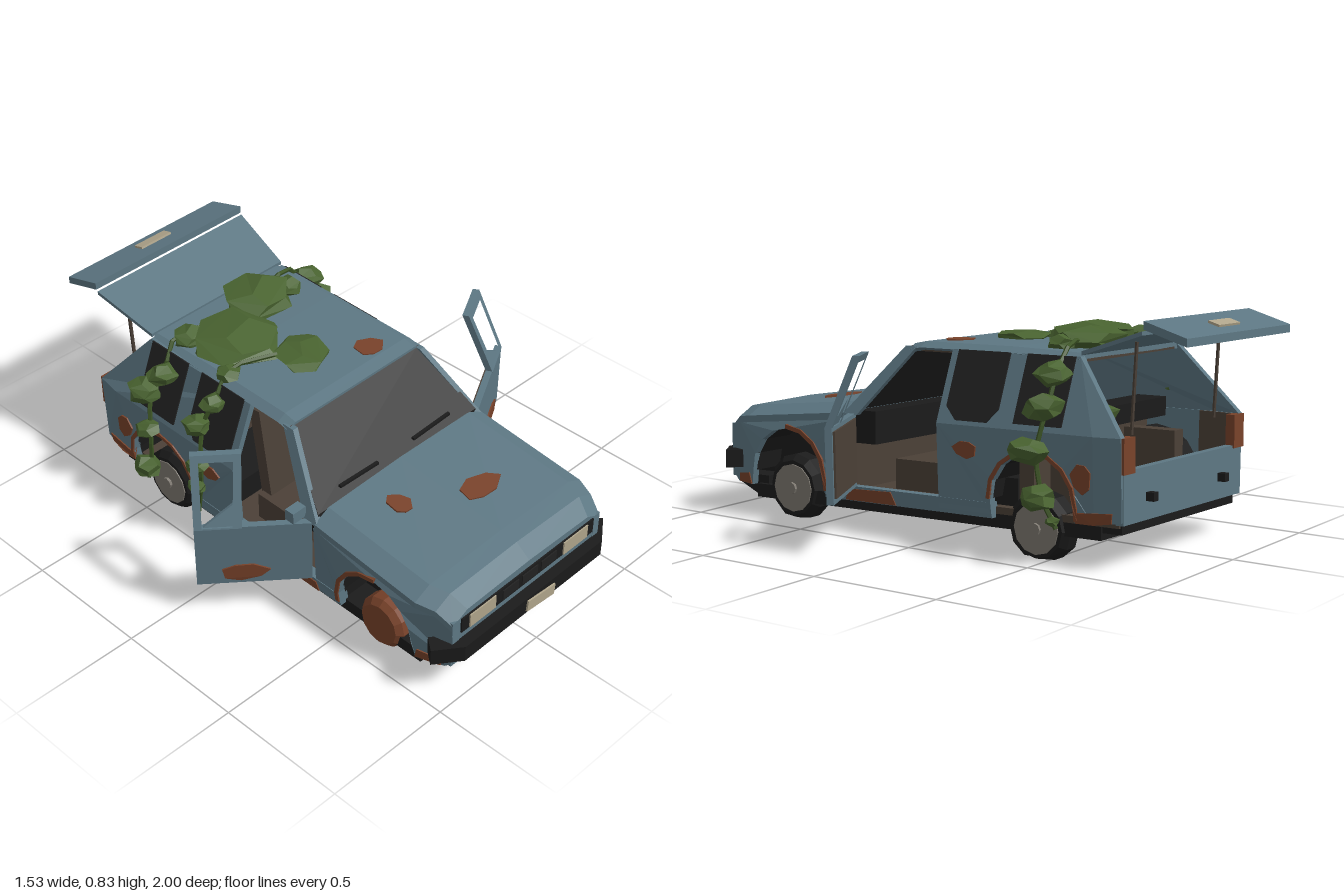
import * as THREE from 'three';

const mat = (name, color) => Object.assign(new THREE.MeshStandardMaterial({ color, flatShading: true }), { name });
const M = {
  paint: mat('faded blue paint', 0x5d7783), black: mat('black trim', 0x1b1b1b), glass: mat('dark glass', 0x222222),
  rust: mat('rust', 0x78422a), cream: mat('cream lamp', 0xb0a58b), hub: mat('wheel grey', 0x7d7870),
  cabin: mat('cabin brown', 0x4b4037), leaf: mat('leaf green', 0x496330), stem: mat('stem green', 0x3c5424),
};

function add(parent, name, geo, material, pos = [0, 0, 0]) {
  const m = new THREE.Mesh(geo, material);
  m.name = name;
  m.position.set(...pos);
  parent.add(m);
  return m;
}
const box = (p, name, material, size, pos) => add(p, name, new THREE.BoxGeometry(...size), material, pos);
const vecs = (pts) => pts.map(([a, b]) => new THREE.Vector2(a, b));

// half width of the body at a height and length: upright below the belt, leaning in above it
const halfWidth = (y, z) => 0.43 - Math.max(0, y - 0.42) * 0.4 - Math.max(0, z - 0.82) * 0.35
  - Math.max(0, -0.7 - z) * 0.15 - Math.max(0, 0.2 - y) * 0.15;

// plate following the body side; points are [z, y], s is +1 for left and -1 for right
function sidePlate(pts, s, offset, thick, holes = []) {
  const flip = (list) => vecs(list.map(([z, y]) => [-s * z, y]));
  const shape = new THREE.Shape(flip(pts));
  holes.forEach((h) => shape.holes.push(new THREE.Path(flip(h))));
  const g = new THREE.ExtrudeGeometry(shape, { depth: thick, bevelEnabled: false });
  const p = g.attributes.position;
  for (let i = 0; i < p.count; i++) {
    const y = p.getY(i), z = -s * p.getX(i);
    p.setXYZ(i, s * (halfWidth(y, z) + offset + p.getZ(i)), y, z);
  }
  g.computeVertexNormals();
  return g;
}

// flat plate cut in plan; points are [x, z], top face at y = 0
function planPlate(pts, thick) {
  return new THREE.ExtrudeGeometry(new THREE.Shape(vecs(pts)), { depth: thick, bevelEnabled: false }).rotateX(Math.PI / 2);
}

// solid through rings of [x, y, z], each counter-clockwise seen from +z, ordered by rising z
function loft(rings) {
  const v = [], n = rings[0].length, tri = (...t) => t.forEach((q) => v.push(...q));
  for (let i = 0; i + 1 < rings.length; i++) for (let j = 0; j < n; j++) {
    const k = (j + 1) % n, a = rings[i], b = rings[i + 1];
    tri(a[j], a[k], b[k]);
    tri(a[j], b[k], b[j]);
  }
  const first = rings[0], last = rings[rings.length - 1];
  for (let j = 1; j + 1 < n; j++) {
    tri(first[0], first[j + 1], first[j]);
    tri(last[0], last[j], last[j + 1]);
  }
  const g = new THREE.BufferGeometry();
  g.setAttribute('position', new THREE.Float32BufferAttribute(v, 3));
  g.computeVertexNormals();
  return g;
}
const slabRing = (h, y, z, t) => [[-h, y - t, z], [h, y - t, z], [h, y, z], [-h, y, z]];

// ragged outline for a rust patch
const patch = (a, b, ra, rb) => [[-1, 0.5], [-0.45, 0.95], [0.3, 1], [1, 0.3], [0.6, -0.5], [-0.25, -1], [-0.9, -0.6]]
  .map(([u, v]) => [a + u * ra, b + v * rb]);

// points of a wheel arch running from front to back, in eighths of the half circle
const arch = (z, r, from = 0) => Array.from({ length: 9 - from }, (_, i) => {
  const t = ((i + from) / 8) * Math.PI;
  return [z + r * Math.cos(t), 0.175 + r * Math.sin(t)];
});
const archBand = (z, r, w, from = 0) =>
  [...arch(z, r, from), [z - r, 0.13], [z - r - w, 0.13], ...arch(z, r + w, from).reverse()];

// faceted leaf mass
function clump(parent, name, pos, size, turn) {
  const g = new THREE.DodecahedronGeometry(1, 0);
  const p = g.attributes.position;
  for (let i = 0; i < p.count; i++) {
    const x = p.getX(i), y = p.getY(i), z = p.getZ(i);
    const k = 1.04 + 0.13 * Math.sin(7 * x + 5 * y + 9 * z + turn * 3);
    p.setXYZ(i, x * k, y * k, z * k);
  }
  g.computeVertexNormals();
  const m = add(parent, name, g, M.leaf, pos);
  m.scale.set(...size);
  m.rotation.y = turn;
}

function stem(parent, pts) {
  const curve = new THREE.CatmullRomCurve3(pts.map((q) => new THREE.Vector3(...q)));
  add(parent, 'vineStem', new THREE.TubeGeometry(curve, 12, 0.009, 5), M.stem);
}

function buildSide(car, s) {
  const plate = (name, material, pts, off, thick) => add(car, name, sidePlate(pts, s, off, thick), material);
  // fender, rear quarter and rocker
  plate('frontFender', M.paint, [[0.345, 0.12], [0.345, 0.405], [0.82, 0.36], [0.89, 0.35], [0.95, 0.305], [0.955, 0.15],
    [0.92, 0.12], [0.82, 0.12], ...arch(0.635, 0.172), [0.463, 0.12]], -0.03, 0.03);
  plate('rearQuarter', M.paint, [[-0.06, 0.12], [-0.285, 0.12], ...arch(-0.455, 0.17), [-0.625, 0.125], [-0.7, 0.125], [-0.8, 0.14],
    [-0.8, 0.42], [-0.7, 0.42], [-0.06, 0.42]], -0.03, 0.03);
  plate('rocker', M.paint, [[0.463, 0.105], [0.463, 0.16], [-0.285, 0.16], [-0.285, 0.105]], -0.04, 0.038);
  plate('trunkLining', M.cabin, [[-0.64, 0.14], [-0.64, 0.42], [-0.785, 0.42], [-0.785, 0.14]], -0.04, 0.009);
  [[0.635, 0.172], [-0.455, 0.17]].forEach(([z, r]) => plate('archLiner', M.black, archBand(z, r, 0.012), -0.16, 0.14));
  // upper pillars
  plate('frontPillar', M.paint, [[0.365, 0.42], [0.3, 0.42], [0.1, 0.67], [0.15, 0.67]], -0.022, 0.022);
  plate('rearUpperPanel', M.paint, [[-0.06, 0.42], [-0.7, 0.42], [-0.8, 0.42], [-0.59, 0.67], [-0.06, 0.67]], -0.025, 0.025);
  plate('rearDoorGlass', M.glass, [[-0.09, 0.67], [-0.09, 0.48], [-0.14, 0.435], [-0.27, 0.435], [-0.31, 0.48], [-0.31, 0.67]], 0, 0.005);
  plate('quarterGlass', M.glass, [[-0.38, 0.67], [-0.38, 0.44], [-0.575, 0.44], [-0.575, 0.67]], 0, 0.005);
  // rusted arch lips, rocker and corners
  plate('frontArchLip', M.rust, archBand(0.635, 0.172, 0.016, 4), -0.01, 0.016);
  plate('rearArchLip', M.rust, archBand(-0.455, 0.17, 0.014), -0.01, 0.016);
  plate('rockerRust', M.rust, [[0.36, 0.108], [0.35, 0.15], [0.15, 0.155], [0.13, 0.108]], 0, 0.004);
  plate('frontCornerRust', M.rust, [[0.91, 0.122], [0.9, 0.155], [0.83, 0.165], [0.82, 0.122]], 0, 0.005);
  plate('rearCornerRust', M.rust, [[-0.63, 0.125], [-0.64, 0.162], [-0.77, 0.17], [-0.765, 0.135], [-0.7, 0.125]], 0, 0.005);
  plate('rearDoorRust', M.rust, patch(-0.18, 0.335, 0.05, 0.03), 0, 0.006);
  plate('quarterRust', M.rust, patch(-0.655, 0.275, 0.04, 0.05), 0, 0.006);
  // rear lamp, bumper stub, hatch strut
  box(car, 'tailLamp', M.rust, [0.07, 0.12, 0.035], [s * 0.375, 0.36, -0.793]);
  box(car, 'bumperStub', M.black, [0.03, 0.03, 0.03], [s * 0.245, 0.21, -0.82]);
  add(car, 'hatchStrut', new THREE.CylinderGeometry(0.007, 0.007, 0.31, 6), M.cabin, [s * 0.28, 0.57, -0.768]).rotation.x = -0.06;
  // front seat
  box(car, 'frontSeat', M.cabin, [0.26, 0.11, 0.24], [s * 0.2, 0.205, 0.08]);
  box(car, 'frontSeatBack', M.cabin, [0.25, 0.4, 0.05], [s * 0.18, 0.42, -0.045]).rotation.x = -0.14;

  // open door on its hinge
  const door = new THREE.Group();
  door.name = s > 0 ? 'leftDoor' : 'rightDoor';
  const hinge = [s * 0.43, 0, 0.34];
  door.position.set(...hinge);
  door.rotation.y = -s * (s > 0 ? 1.07 : 0.86);
  const dp = (name, material, pts, off, t, holes) =>
    add(door, name, sidePlate(pts, s, off, t, holes), material, hinge.map((q) => -q));
  dp('doorSkin', M.paint, [[0.34, 0.16], [0.34, 0.425], [-0.065, 0.425], [-0.065, 0.16]], -0.025, 0.025);
  dp('doorTrim', M.cabin, [[0.32, 0.18], [0.32, 0.41], [-0.05, 0.41], [-0.05, 0.18]], -0.035, 0.01);
  dp('windowFrame', M.paint, [[0.1, 0.42], [0.11, 0.67], [-0.065, 0.67], [-0.065, 0.42]], -0.025, 0.025,
    [[[0.068, 0.425], [0.082, 0.645], [-0.037, 0.645], [-0.037, 0.425]]]);
  dp('windowCorner', M.paint, [[0.09, 0.42], [0.09, 0.51], [-0.04, 0.42]], -0.018, 0.012);
  dp('doorRust', M.rust, patch(0.11, 0.215, 0.085, 0.038), 0, 0.006);
  car.add(door);
}

// chamfered wheel body lying along x
const wheelBody = (r, side) => new THREE.LatheGeometry(vecs([[0, -0.048], [side, -0.048], [r, -0.026], [r, 0.026], [side, 0.048], [0, 0.048]]), 12)
  .rotateZ(Math.PI / 2);

function buildWheel(root, s, z, y) {
  const wheel = new THREE.Group();
  wheel.name = 'wheel';
  const disc = (name, r, w, sides, material) =>
    add(wheel, name, new THREE.CylinderGeometry(r, r, w, sides).rotateZ(Math.PI / 2), material);
  if (s < 0 && z > 0) add(wheel, 'bareDrum', wheelBody(0.1, 0.08), M.rust);
  else {
    const tyre = add(wheel, 'tyre', wheelBody(0.126, 0.104), M.black).geometry.attributes.position;
    for (let i = 0; i < tyre.count; i++) tyre.setY(i, Math.max(tyre.getY(i), 0.002 - y));
    disc('rim', 0.09, 0.104, 12, M.hub);
    disc('hubCap', 0.022, 0.125, 8, M.hub);
  }
  wheel.position.set(-0.018 + s * 0.352, y, z);
  root.add(wheel);
}

export function createModel() {
  const root = new THREE.Group();
  root.name = 'abandonedCar';
  const car = new THREE.Group();
  car.name = 'sunkenBody';
  car.position.x = -0.013;
  car.rotation.set(0.022, 0, 0.026);
  root.add(car);
  [1, -1].forEach((s) => {
    buildSide(car, s);
    buildWheel(root, s, 0.636, s > 0 ? 0.118 : 0.1);
    buildWheel(root, s, -0.455, 0.105);
  });

  // underside, engine bay, cabin
  box(car, 'underbody', M.black, [0.78, 0.05, 1.53], [0, 0.095, 0.055]);
  box(car, 'engineBay', M.black, [0.56, 0.25, 0.54], [0, 0.24, 0.64]);
  box(car, 'firewall', M.cabin, [0.78, 0.3, 0.03], [0, 0.27, 0.37]);
  box(car, 'dashboard', M.black, [0.74, 0.12, 0.1], [0, 0.37, 0.31]);
  box(car, 'floor', M.cabin, [0.78, 0.025, 1.12], [0, 0.13, -0.22]);
  box(car, 'rearSeat', M.black, [0.7, 0.1, 0.2], [0, 0.19, -0.25]);
  box(car, 'rearSeatBack', M.cabin, [0.74, 0.28, 0.06], [0, 0.28, -0.4]);
  box(car, 'parcelShelf', M.black, [0.74, 0.07, 0.12], [0, 0.43, -0.45]);
  [1, -1].forEach((s) => box(car, 'rearWheelHousing', M.cabin, [0.06, 0.23, 0.37], [s * 0.24, 0.25, -0.455]));
  box(car, 'headliner', M.cabin, [0.58, 0.01, 0.7], [0, 0.655, -0.24]);

  // hood, roof and windscreen
  const hoodRing = (z, y, h) => [[-h, y - 0.06, z], [h, y - 0.06, z], [h, y - 0.035, z], [h - 0.07, y, z], [0, y + 0.008, z], [0.07 - h, y, z], [-h, y - 0.035, z]];
  const hood = loft([[0.35, 0.462], [0.82, 0.417], [0.89, 0.407], [0.95, 0.362]].map(([z, y]) => hoodRing(z, y, halfWidth(0.4, z))));
  add(car, 'hood', hood, M.paint);
  const roofRing = (z, y) => [[-0.31, y - 0.03, z], [0.31, y - 0.03, z], [0.335, y - 0.02, z], [0.3, y, z], [-0.3, y, z], [-0.335, y - 0.02, z]];
  add(car, 'roof', loft([roofRing(-0.59, 0.68), roofRing(-0.3, 0.688), roofRing(0.08, 0.688), roofRing(0.132, 0.678)]), M.paint);
  add(car, 'windscreen', loft([slabRing(0.322, 0.672, 0.128, 0.02), slabRing(0.405, 0.452, 0.345, 0.02)]), M.glass);
  [-1, 1].forEach((s) => {
    box(car, 'wiper', M.black, [0.19, 0.01, 0.012], [s * 0.185, 0.487, 0.325]).rotation.z = s * 0.04;
  });
  box(car, 'mirror', M.paint, [0.06, 0.045, 0.04], [-0.45, 0.45, 0.28]);

  // nose
  box(car, 'nosePanel', M.paint, [0.77, 0.2, 0.03], [0, 0.24, 0.935]);
  box(car, 'grille', M.black, [0.69, 0.062, 0.012], [0, 0.308, 0.95]);
  [-1, 1].forEach((s) => box(car, 'headlamp', M.cream, [0.13, 0.055, 0.008], [s * 0.243, 0.308, 0.957]));
  [-0.1, 0, 0.1].forEach((x) => box(car, 'grilleBar', M.glass, [0.08, 0.04, 0.006], [x, 0.308, 0.957]));
  const bumper = [[-0.36, 0.99], [0.36, 0.99], [0.455, 0.92], [0.415, 0.87], [0.34, 0.93], [-0.34, 0.93], [-0.415, 0.87], [-0.455, 0.92]];
  add(car, 'frontBumper', planPlate(bumper, 0.066), M.black, [0, 0.246, 0]);
  box(car, 'frontPlate', M.cream, [0.145, 0.045, 0.008], [0.025, 0.207, 0.993]).rotation.z = -0.1;
  const valanceRing = (z, low) => [[-0.37, low, z], [0.37, low, z], [0.37, 0.15, z], [-0.37, 0.15, z]];
  add(car, 'frontValance', loft([valanceRing(0.78, 0.07), valanceRing(0.82, 0.07), valanceRing(0.93, 0.12)]), M.black);

  // tail and raised hatch
  box(car, 'tailPanel', M.paint, [0.8, 0.18, 0.03], [0, 0.22, -0.788]);
  box(car, 'trunkBoard', M.cabin, [0.72, 0.16, 0.01], [0, 0.22, -0.768]);
  box(car, 'rearValance', M.black, [0.76, 0.05, 0.08], [0, 0.12, -0.745]);
  add(car, 'hatchPanel', loft([slabRing(0.36, 0.768, -0.845, 0.014), slabRing(0.325, 0.688, -0.59, 0.014)]), M.paint);
  add(car, 'hatchLip', loft([slabRing(0.362, 0.752, -1.012, 0.028), slabRing(0.362, 0.802, -0.85, 0.028)]), M.paint);
  box(car, 'rearPlate', M.cream, [0.145, 0.008, 0.045], [-0.005, 0.778, -0.945]).rotation.x = -0.3;

  // rust on hood and roof
  const flake = (x, y, z, rx, rz, tilt) => {
    add(car, 'rustPatch', planPlate(patch(0, 0, rx, rz), 0.008), M.rust, [x, y, z]).rotation.x = tilt;
  };
  flake(-0.165, 0.458, 0.5, 0.04, 0.05, 0.1);
  flake(0.112, 0.447, 0.63, 0.088, 0.05, 0.1);
  flake(0.18, 0.692, 0.02, 0.056, 0.05, 0);

  // foliage on the roof: x, y, z, half sizes, turn
  [[-0.14, 0.705, -0.33, 0.175, 0.045, 0.165, 0.2], [0.09, 0.705, -0.47, 0.155, 0.05, 0.125, 0.5], [-0.03, 0.692, -0.115, 0.12, 0.025, 0.1, 0.9],
    [0.22, 0.7, -0.44, 0.055, 0.03, 0.05, 0.1], [-0.25, 0.7, -0.47, 0.065, 0.035, 0.055, 0.4], [-0.29, 0.69, -0.22, 0.05, 0.03, 0.045, 1.2]]
    .forEach(([x, y, z, a, h, b, t]) => clump(car, 'roofFoliage', [x, y, z], [a, h, b], t));
  clump(car, 'trunkFoliage', [0.28, 0.47, -0.6], [0.06, 0.045, 0.09], 0.6);

  // hanging vines: side, length position, leaf clumps [y, z shift, radius]
  [[1, -0.52, [[0.615, 0, 0.062], [0.505, 0.01, 0.068], [0.36, 0.05, 0.064], [0.205, 0.01, 0.062], [0.13, -0.04, 0.025]]],
    [-1, -0.5, [[0.61, 0.04, 0.055], [0.52, -0.03, 0.062], [0.39, 0.02, 0.045], [0.2, 0, 0.055]]],
    [-1, -0.22, [[0.62, 0.02, 0.045], [0.52, -0.03, 0.05], [0.38, 0.01, 0.04], [0.27, 0, 0.035]]]].forEach(([s, z, leaves]) => {
    const out = (y) => s * (halfWidth(y, z) + 0.016);
    stem(car, [[s * 0.1, 0.7, z + 0.05], [s * 0.29, 0.705, z], ...leaves.map(([y, dz]) => [out(y), y, z + dz * 0.6]), [out(0.1), 0.1, z - 0.04]]);
    leaves.forEach(([y, dz, r], i) => clump(car, 'vineLeaves', [out(y) + s * 0.02, y, z + dz], [r, r * 0.72, r], i + z));
  });
  return root;
}
